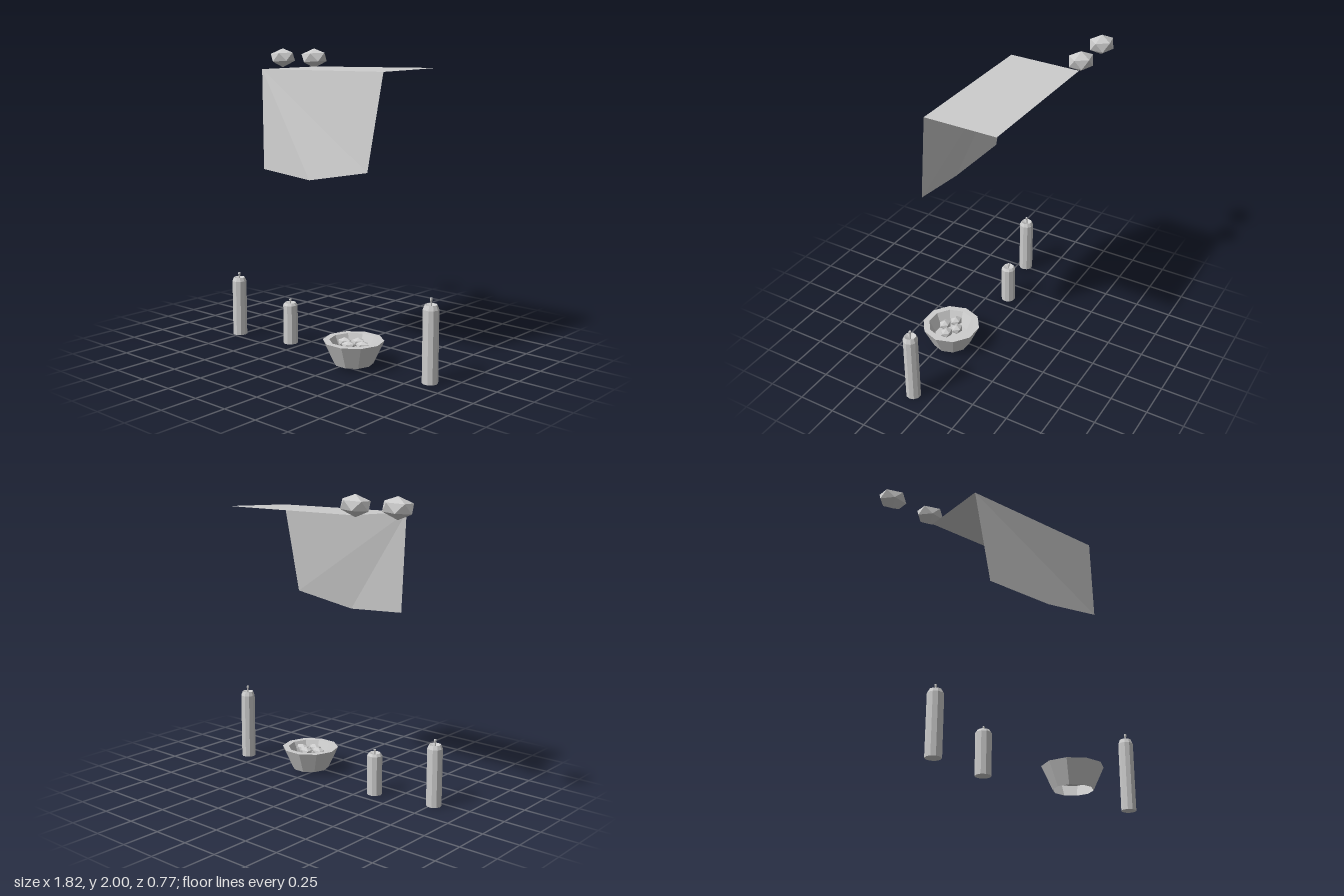
import * as THREE from 'three';
import { ConvexGeometry } from 'three/addons/geometries/ConvexGeometry.js';

const mat = new THREE.MeshStandardMaterial({ color: 0xcccccc, flatShading: true, side: THREE.DoubleSide });
mat.name = 'plain grey';

function add(parent, name, geometry, x = 0, y = 0, z = 0) {
  const mesh = new THREE.Mesh(geometry, mat);
  mesh.name = name;
  mesh.position.set(x, y, z);
  parent.add(mesh);
  return mesh;
}

// Lathe with a vertex on the +x axis, so an even number of sides is symmetric
function lathe(points, sides) {
  const g = new THREE.LatheGeometry(points.map(([r, y]) => new THREE.Vector2(r, y)), sides);
  return g.rotateY(Math.PI / 2);
}

// Twenty-sided fruit standing on a corner, stretched along x
function fruitGeometry() {
  const points = [new THREE.Vector3(0, 0.0675, 0), new THREE.Vector3(0, -0.0675, 0)];
  for (let i = 0; i < 5; i++) {
    const a = (i * Math.PI * 2) / 5;
    const x = Math.cos(a) * 0.098, z = Math.sin(a) * 0.075;
    points.push(new THREE.Vector3(x, 0.032 + x * 0.06, z));
    points.push(new THREE.Vector3(-x, -0.025 - x * 0.06, z));
  }
  return new ConvexGeometry(points);
}

// Fan-filled flat panel
function panel(corners) {
  const g = new THREE.BufferGeometry();
  const index = [];
  for (let i = 1; i < corners.length - 1; i++) index.push(0, i, i + 1);
  g.setAttribute('position', new THREE.Float32BufferAttribute(corners.flat(), 3));
  g.setIndex(index);
  const flat = g.toNonIndexed();
  flat.computeVertexNormals();
  return flat;
}

export function createModel() {
  const model = new THREE.Group();
  model.name = 'altarOfferings';

  // Cloth: flat top and pointed front drop
  const cloth = new THREE.Group();
  cloth.name = 'cloth';
  model.add(cloth);
  const left = [-0.51, 1.865, 0.19], right = [0.525, 1.865, 0.19];
  add(cloth, 'clothTop', panel([left, right, [0.55, 1.88, -0.315], [-0.485, 1.875, -0.315]]));
  add(cloth, 'clothDrop', panel([left, [-0.43, 1.21, 0.26], [0.02, 1.18, 0.302], [0.47, 1.262, 0.27], right]));

  // Candles: [x, z, wax height]
  const wax = lathe([[0, 0], [0.05, 0], [0.05, 0.94], [0.038, 1], [0.006, 0.96], [0, 0.96]], 10);
  const wick = lathe([[0.005, 0.95], [0.006, 1.04], [0.009, 1.055], [0.008, 1.083], [0, 1.083]], 6);
  for (const [x, z, h] of [[-0.765, 0.19, 0.41], [-0.345, 0.108, 0.285], [0.86, 0.135, 0.49]]) {
    const candle = new THREE.Group();
    candle.name = 'candle';
    candle.position.set(x, 0, z);
    candle.scale.y = h;
    add(candle, 'wax', wax);
    add(candle, 'wick', wick);
    model.add(candle);
  }

  // Bowl with an open hollow foot
  add(model, 'bowl', lathe([[0.128, 0.02], [0.197, 0.17], [0.155, 0.17], [0.115, 0.08], [0, 0.08]], 10), 0.3, 0, 0.195);

  // Fruits: two loose ones above, a heap in the bowl
  const fruit = fruitGeometry();
  for (const x of [-0.816, -0.508]) add(model, 'looseFruit', fruit, x, 1.932, -0.314);
  for (const [x, z] of [[0.23, 0.2], [0.3, 0.15], [0.37, 0.19], [0.3, 0.245]]) {
    add(model, 'bowlFruit', fruit, x, 0.143, z).scale.setScalar(0.47);
  }

  return model;
}
